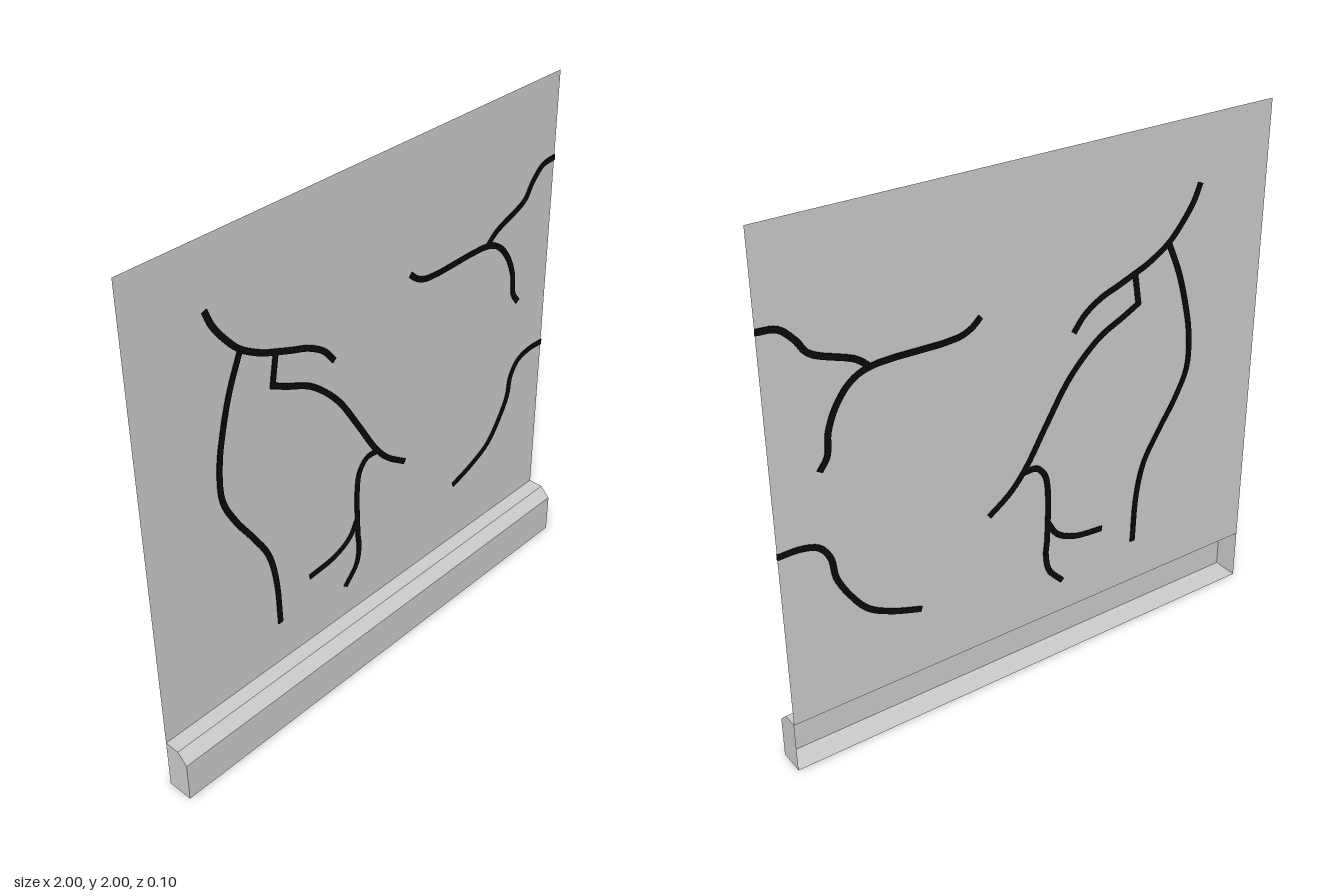
import * as THREE from 'three';

const grey = new THREE.MeshStandardMaterial({ color: 0xcccccc, side: THREE.DoubleSide, flatShading: true });
const black = new THREE.MeshStandardMaterial({ color: 0x0a0a0a, side: THREE.DoubleSide });
const BACK = -0.05;

// Centre lines of the cracks as [x, y] points on the wall
const cracks = {
  upperLeftCrack: [[-0.69, 1.76], [-0.665, 1.7], [-0.62, 1.635], [-0.56, 1.57], [-0.47, 1.515], [-0.42, 1.495],
    [-0.34, 1.465], [-0.27, 1.44], [-0.2, 1.395], [-0.155, 1.34]],
  longCrack: [[-0.56, 1.57], [-0.615, 1.44], [-0.655, 1.3], [-0.675, 1.195], [-0.675, 1.055], [-0.625, 0.94],
    [-0.555, 0.83], [-0.49, 0.715], [-0.46, 0.58], [-0.45, 0.38]],
  linkCrack: [[-0.415, 1.49], [-0.435, 1.37]],
  diagonalCrack: [[-0.44, 1.378], [-0.365, 1.34], [-0.28, 1.3], [-0.215, 1.25], [-0.135, 1.165], [-0.04, 1.015],
    [0.045, 0.875], [0.11, 0.8], [0.2, 0.735]],
  lowerCrack: [[0.055, 0.86], [0, 0.86], [-0.035, 0.825], [-0.05, 0.77], [-0.05, 0.54], [-0.045, 0.48],
    [-0.06, 0.405], [-0.12, 0.335]],
  lowerBranch: [[-0.3, 0.495], [-0.175, 0.51], [-0.095, 0.55], [-0.05, 0.62]],
  upperRightCrack: [[0.22, 1.505], [0.255, 1.475], [0.31, 1.455], [0.63, 1.45], [0.7, 1.42], [0.755, 1.355],
    [0.79, 1.27], [0.8, 1.185], [0.83, 1.14]],
  upperRightBranch: [[0.63, 1.45], [0.68, 1.49], [0.835, 1.555], [0.875, 1.61], [0.93, 1.66], [1, 1.67]],
  lowerRightCrack: [[0.485, 0.465], [0.6, 0.505], [0.69, 0.555], [0.75, 0.63], [0.8, 0.725], [0.815, 0.81],
    [0.855, 0.865], [0.92, 0.885], [1, 0.885]],
};

// Thin flat strip of constant width following a smooth line
function crackGeometry(points, width = 0.022, depth = 0.008) {
  const curve = new THREE.CatmullRomCurve3(points.map(([x, y]) => new THREE.Vector3(x, y, 0)), false, 'centripetal');
  const n = points.length * 4, left = [], right = [];
  for (let i = 0; i <= n; i++) {
    const p = curve.getPoint(i / n), t = curve.getTangent(i / n);
    const dx = -t.y * width / 2, dy = t.x * width / 2;
    left.push(new THREE.Vector2(Math.min(1, p.x + dx), p.y + dy));
    right.push(new THREE.Vector2(Math.min(1, p.x - dx), p.y - dy));
  }
  const shape = new THREE.Shape([...right, ...left.reverse()]);
  return new THREE.ExtrudeGeometry(shape, { depth, bevelEnabled: false }).translate(0, 0, BACK - depth / 2);
}

// Hollow skirting board: swept profile [z, y] with end caps, open at the back
function createSkirting() {
  const group = new THREE.Group();
  group.name = 'skirtingBoard';
  const profile = [[BACK, 0], [0.05, 0], [0.05, 0.16], [0.01, 0.2], [BACK, 0.2]];
  const positions = [];
  for (let i = 0; i < profile.length - 1; i++) {
    const [z0, y0] = profile[i], [z1, y1] = profile[i + 1];
    positions.push(-1, y0, z0, 1, y0, z0, 1, y1, z1, -1, y0, z0, 1, y1, z1, -1, y1, z1);
  }
  const faces = new THREE.BufferGeometry();
  faces.setAttribute('position', new THREE.Float32BufferAttribute(positions, 3));
  faces.computeVertexNormals();
  const board = new THREE.Mesh(faces, grey);
  board.name = 'skirtingFaces';
  group.add(board);

  const capShape = new THREE.Shape(profile.map(([z, y]) => new THREE.Vector2(z, y)));
  const mirrored = new THREE.Shape(profile.map(([z, y]) => new THREE.Vector2(-z, y)));
  for (const side of [-1, 1]) {
    const geometry = new THREE.ShapeGeometry(side < 0 ? capShape : mirrored);
    geometry.rotateY(side * Math.PI / 2).translate(side, 0, 0);
    const cap = new THREE.Mesh(geometry, grey);
    cap.name = side > 0 ? 'leftEndCap' : 'rightEndCap';
    group.add(cap);
  }
  return group;
}

export function createModel() {
  const model = new THREE.Group();
  model.name = 'crackedWall';

  // Wall sheet above the skirting
  const wall = new THREE.Mesh(new THREE.PlaneGeometry(2, 1.8).translate(0, 1.1, BACK), grey);
  wall.name = 'wall';
  model.add(wall, createSkirting());

  // Cracks, showing on both faces of the wall
  const crackGroup = new THREE.Group();
  crackGroup.name = 'cracks';
  for (const [name, points] of Object.entries(cracks)) {
    const crack = new THREE.Mesh(crackGeometry(points), black);
    crack.name = name;
    crackGroup.add(crack);
  }
  model.add(crackGroup);
  return model;
}
